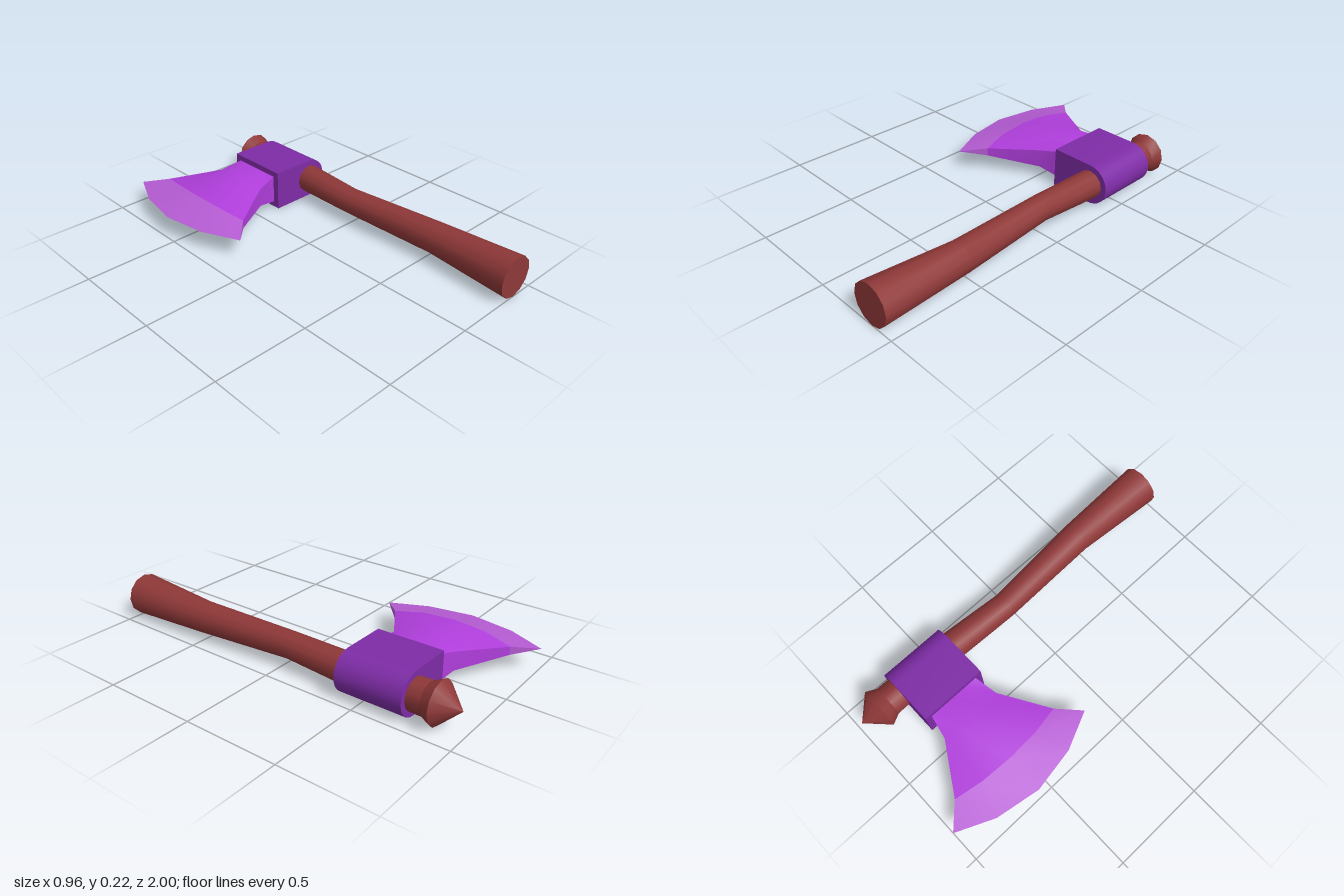
import * as THREE from 'three';
import { toCreasedNormals } from 'three/addons/utils/BufferGeometryUtils.js';

const MID_Y = 0.113;
const BLADE_Z = -0.564;

const paint = (name, color) => {
  const m = new THREE.MeshStandardMaterial({ color });
  m.name = name;
  return m;
};

// Builds a creased geometry from quads, dropping collapsed triangles.
function fromQuads(quads, crease) {
  const pos = [];
  const tri = new THREE.Triangle();
  for (const [a, b, c, d] of quads) {
    for (const t of [[a, b, c], [a, c, d]]) {
      tri.set(...t);
      if (tri.getArea() > 1e-8) t.forEach((p) => pos.push(p.x, p.y, p.z));
    }
  }
  const g = new THREE.BufferGeometry();
  g.setAttribute('position', new THREE.Float32BufferAttribute(pos, 3));
  return toCreasedNormals(g, crease);
}

// Twelve-sided tube through rings of [z, centre x, radius], running towards -z.
function ringTube(rings, crease) {
  const n = 12;
  const point = ([z, cx, r], j) => {
    const a = ((j % n) / n) * Math.PI * 2;
    return new THREE.Vector3(cx + r * Math.cos(a), MID_Y + r * Math.sin(a), z);
  };
  const quads = [];
  for (let i = 0; i < rings.length - 1; i++) {
    for (let j = 0; j < n; j++) {
      quads.push([point(rings[i], j), point(rings[i + 1], j),
        point(rings[i + 1], j + 1), point(rings[i], j + 1)]);
    }
  }
  return fromQuads(quads, 0.7);
}

// Blade rows from the collar outwards; each holds [x, z offset, half thickness]
// at the middle, halfway and at the side.
const BLADE_ROWS = [
  [[0.13, 0, 0.077], [0.13, 0.072, 0.077], [0.13, 0.143, 0.077]],
  [[-0.035, 0, 0.093], [-0.022, 0.088, 0.083], [0.01, 0.168, 0.05]],
  [[-0.28, 0, 0.052], [-0.27, 0.172, 0.045], [-0.24, 0.325, 0.022]],
  [[-0.48, 0, 0], [-0.44, 0.237, 0], [-0.35, 0.435, 0]],
];

function bladeStrip(first, last) {
  const point = (i, j, side) => {
    const [x, z, h] = BLADE_ROWS[i][Math.abs(j)];
    return new THREE.Vector3(x, MID_Y + side * h, BLADE_Z + Math.sign(j) * z);
  };
  const quads = [];
  for (let i = first; i < last; i++) {
    // upper and lower cheeks
    for (let j = -2; j < 2; j++) {
      for (const s of [1, -1]) {
        const q = [point(i, j, s), point(i + 1, j, s), point(i + 1, j + 1, s), point(i, j + 1, s)];
        quads.push(s > 0 ? q : q.reverse());
      }
    }
    // narrow side walls
    for (const j of [2, -2]) {
      const q = [point(i, j, 1), point(i + 1, j, 1), point(i + 1, j, -1), point(i, j, -1)];
      quads.push(j > 0 ? q : q.reverse());
    }
  }
  return fromQuads(quads, 0.65);
}

// Square block with one half-round end, wrapped round the handle.
function collarGeometry() {
  const r = 0.109;
  const cx = 0.366;
  const s = new THREE.Shape();
  s.moveTo(0.13, MID_Y - r);
  s.lineTo(cx, MID_Y - r);
  s.absarc(cx, MID_Y, r, -Math.PI / 2, Math.PI / 2, false);
  s.lineTo(0.13, MID_Y + r);
  s.closePath();
  const g = new THREE.ExtrudeGeometry(s, { depth: 0.355, bevelEnabled: false, curveSegments: 8 });
  g.translate(0, 0, -0.74);
  return toCreasedNormals(g, 0.6);
}

export function createModel() {
  const wood = paint('redBrownWood', 0x8f3838);
  const darkPurple = paint('darkPurple', 0x7e2ca6);
  const purple = paint('brightPurple', 0xb03edc);
  const palePurple = paint('palePurple', 0xb65cd4);

  const axe = new THREE.Group();
  axe.name = 'axe';
  const add = (name, geometry, material) => {
    const mesh = new THREE.Mesh(geometry, material);
    mesh.name = name;
    axe.add(mesh);
  };

  // Curved handle with a closed butt end
  add('handle', ringTube([
    [1, 0.368, 0], [1, 0.368, 0.11], [0.52, 0.378, 0.083], [-0.03, 0.347, 0.069],
    [-0.4, 0.368, 0.078], [-0.81, 0.365, 0.083],
  ], 0.7), wood);

  // Pointed knob on top of the handle
  add('pommel', ringTube([
    [-0.81, 0.365, 0.083], [-0.865, 0.365, 0.11], [-0.976, 0.365, 0],
  ]), wood);

  add('collar', collarGeometry(), darkPurple);
  add('blade', bladeStrip(0, 2), purple);
  add('cuttingEdge', bladeStrip(2, 3), palePurple);
  return axe;
}
